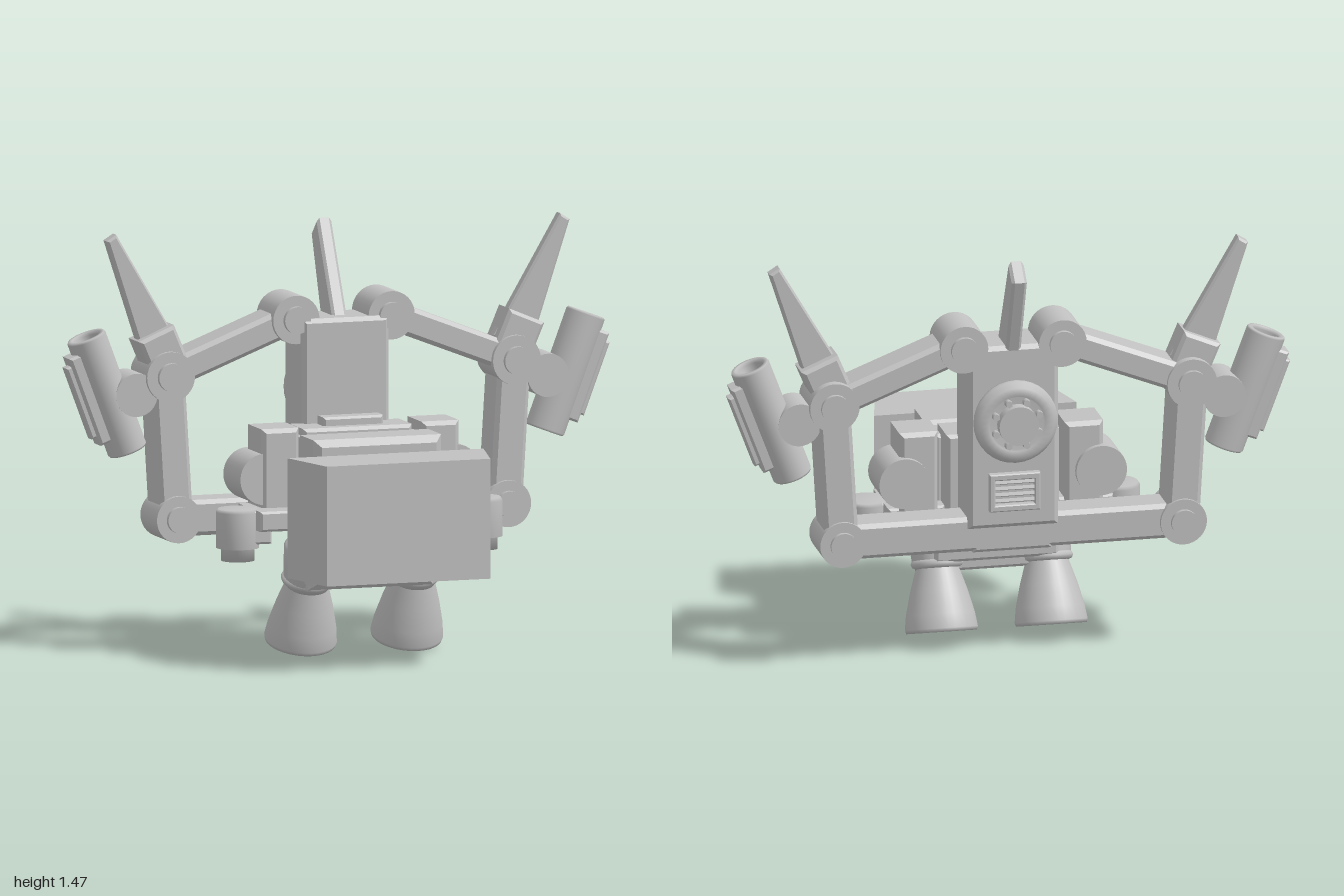
import * as THREE from 'three';

const grey = new THREE.MeshStandardMaterial({ color: 0xc0c0c0 });
grey.name = 'plain grey';
const hollow = new THREE.MeshStandardMaterial({ color: 0xc0c0c0, side: THREE.DoubleSide });
hollow.name = 'plain grey shell';

export function createModel() {
  const root = new THREE.Group();
  root.name = 'mechanicalBackpack';

  const add = (name, geo, x = 0, y = 0, z = 0, mat = grey) => {
    const m = new THREE.Mesh(geo, mat);
    m.name = name;
    m.position.set(x, y, z);
    root.add(m);
    return m;
  };

  // Extruded outline with bevelled edges, centred on z
  const slab = (pts, d, c) => {
    const g = new THREE.ExtrudeGeometry(new THREE.Shape(pts.map(p => new THREE.Vector2(...p))), {
      depth: d - 2 * c, bevelEnabled: c > 0, bevelSize: c, bevelOffset: -c, bevelThickness: c, bevelSegments: 1,
    });
    return g.translate(0, 0, -d / 2 + c);
  };
  const block = (w, h, d, c = 0.012) =>
    slab([[-w / 2, -h / 2], [w / 2, -h / 2], [w / 2, h / 2], [-w / 2, h / 2]], d, c);
  // Block given by its limits
  const span = (name, x0, x1, y0, y1, z0, z1, c) =>
    add(name, block(x1 - x0, y1 - y0, z1 - z0, c), (x0 + x1) / 2, (y0 + y1) / 2, (z0 + z1) / 2);
  // Cylinder along z
  const disc = (name, x, y, z0, z1, r, seg = 32) =>
    add(name, new THREE.CylinderGeometry(r, r, z1 - z0, seg).rotateX(Math.PI / 2), x, y, (z0 + z1) / 2);
  const lathe = pts => new THREE.LatheGeometry(pts.map(p => new THREE.Vector2(...p)), 32);
  // Beam between two points in the front plane
  const beam = (name, a, b, w, d) => {
    const dx = b[0] - a[0], dy = b[1] - a[1], len = Math.hypot(dx, dy);
    const m = add(name, block(len, w, d, 0.015), (a[0] + b[0]) / 2, (a[1] + b[1]) / 2, -0.29);
    m.rotation.z = Math.atan2(dy, dx);
  };
  // Round joint with raised caps
  const joint = (name, x, y, r) => {
    disc(name, x, y, -0.375, -0.2, r);
    disc(name + 'Cap', x, y, -0.39, -0.182, r * 0.56);
  };

  // Detached front block, narrowing forward
  add('frontBlock', slab([[-0.36, -0.235], [-0.3, -0.48], [0.3, -0.48], [0.36, -0.235]], 0.42, 0)
    .rotateX(-Math.PI / 2), 0, 0.53, 0);

  // Main body
  span('body', -0.235, 0.235, 0.27, 0.785, -0.015, 0.172, 0.025);
  span('bodyRear', -0.22, 0.22, 0.3, 0.77, -0.115, 0.02);
  span('bodyBridge', -0.2, 0.2, 0.5, 0.795, -0.21, -0.05);
  span('bodyFoot', -0.23, 0.23, 0.25, 0.3, -0.06, 0.09);
  span('topLatch', -0.11, 0.11, 0.77, 0.825, -0.17, -0.1, 0.008);

  // Rear column
  span('column', -0.16, 0.16, 0.5, 1.16, -0.375, -0.175, 0.015);
  span('columnFoot', -0.14, 0.14, 0.41, 0.54, -0.36, -0.2);

  // Centre fin
  add('centreFin', slab([[0.23, 1.13], [0.37, 1.13], [0.475, 1.42], [0.41, 1.48]], 0.054, 0.01)
    .rotateY(Math.PI / 2).scale(1, 1, 1));

  // Rear dial: bevelled plate, hub, and bolts around it
  add('dial', lathe([[0, 0], [0.145, 0], [0.148, 0.012], [0.148, 0.028], [0.13, 0.05], [0.1, 0.05],
    [0.095, 0.04], [0, 0.04]]).rotateX(-Math.PI / 2), 0, 0.895, -0.385);
  disc('dialNeck', 0, 0.895, -0.39, -0.36, 0.1);
  disc('dialHub', 0, 0.895, -0.465, -0.4, 0.07);
  for (let i = 0; i < 8; i++) {
    const a = (i + 0.5) * Math.PI / 4;
    disc('dialBolt', 0.083 * Math.cos(a), 0.895 + 0.083 * Math.sin(a), -0.45, -0.4, 0.013, 6);
  }

  // Rear vent: frame with slats
  span('ventTop', -0.09, 0.09, 0.68, 0.703, -0.402, -0.36, 0.004);
  span('ventBottom', -0.09, 0.09, 0.567, 0.59, -0.402, -0.36, 0.004);
  for (const s of [-1, 1]) span('ventSide', s * 0.08 - 0.01, s * 0.08 + 0.01, 0.575, 0.695, -0.402, -0.36, 0.004);
  for (let i = 0; i < 4; i++) {
    add('ventSlat', new THREE.BoxGeometry(0.145, 0.012, 0.025), 0, 0.602 + i * 0.022, -0.382).rotation.x = 0.4;
  }

  for (const s of [-1, 1]) {
    const box = (name, x0, x1, ...rest) => span(name, Math.min(s * x0, s * x1), Math.max(s * x0, s * x1), ...rest);

    // Side pods
    box('sidePod', 0.225, 0.362, 0.5, 0.805, -0.19, -0.02, 0.015);
    disc('sideTank', s * 0.35, 0.63, -0.21, -0.03, 0.09);

    // Hip bracket and upright thruster
    box('hipBracket', 0.2, 0.4, 0.46, 0.53, -0.175, 0.07, 0.008);
    box('hipArm', 0.34, 0.45, 0.41, 0.53, -0.1, 0.02, 0.008);
    add('hipThruster', lathe([[0, 0.35], [0.058, 0.35], [0.058, 0.395], [0.075, 0.395], [0.075, 0.52],
      [0.068, 0.532], [0, 0.532]]), s * 0.447, 0, -0.04);

    // Swivelled leg socket and open nozzle
    add('legSocket', lathe([[0, -0.02], [0.075, -0.02], [0.085, 0.01], [0.092, 0.07], [0.097, 0.13], [0.08, 0.15], [0, 0.15]]),
      s * 0.195, 0.27, -0.025).rotation.x = 0.35;
    add('legRing', new THREE.TorusGeometry(0.076, 0.016, 8, 32).rotateX(Math.PI / 2), s * 0.195, 0.275, -0.03).rotation.x = 0.33;
    add('nozzle', lathe([[0, -0.03], [0.055, -0.04], [0.085, -0.12], [0.108, -0.228], [0.123, -0.233], [0.127, -0.22],
      [0.12, -0.17], [0.1, -0.09], [0.075, -0.01], [0.07, 0.01], [0, 0.01]]), s * 0.195, 0.269, -0.03, hollow).rotation.x = 0.32;

    // Jointed arm
    const shoulder = [s * 0.175, 1.157], elbow = [s * 0.635, 0.978], wrist = [s * 0.605, 0.477];
    joint('shoulderJoint', ...shoulder, 0.085);
    joint('elbowJoint', ...elbow, 0.088);
    joint('lowerJoint', ...wrist, 0.082);
    beam('upperArm', shoulder, elbow, 0.1, 0.145);
    beam('middleArm', elbow, wrist, 0.12, 0.15);
    beam('lowerArm', wrist, [s * 0.1, 0.477], 0.125, 0.14);

    // Arm fin on its base block
    const fin = [[0.56, 1.05], [0.72, 1.05], [0.85, 1.46], [0.815, 1.48]];
    const f = [[0.57, 1.09], [0.715, 1.065], [0.85, 1.455], [0.82, 1.478]];
    // lean of the fin follows the inner edge
    fin[1] = f[1];
    const outline = [[0.56, 1.09], [0.7, 1.04], [0.85, 1.455], [0.815, 1.477]];
    outline[0] = [0.57, 1.06];
    const pts = [[0.57, 1.06], [0.715, 1.04], [0.85, 1.455], [0.815, 1.477]].map(p => [s * p[0], p[1]]);
    add('armFin', slab(s > 0 ? pts : pts.reverse(), 0.05, 0.008), 0, 0, -0.28);
    add('finBase', block(0.14, 0.13, 0.13), s * 0.655, 1.07, -0.28).rotation.z = -s * 0.4;

    // Tilted open tube with an outer plate
    disc('tubeMount', s * 0.755, 0.918, -0.355, -0.215, 0.076);
    const tilt = -s * 0.36;
    add('tube', lathe([[0, -0.217], [0.066, -0.217], [0.07, -0.21], [0.07, 0.21], [0.066, 0.217], [0.052, 0.217],
      [0.048, 0.205], [0.048, 0.08], [0, 0.08]]), s * 0.842, 0.92, -0.285, hollow).rotation.z = tilt;
    add('tubePlate', block(0.05, 0.33, 0.085, 0.008), s * 0.91, 0.905, -0.285).rotation.z = tilt;
    add('tubeRail', block(0.03, 0.27, 0.05, 0.006), s * 0.937, 0.895, -0.285).rotation.z = tilt;
  }
  return root;
}
